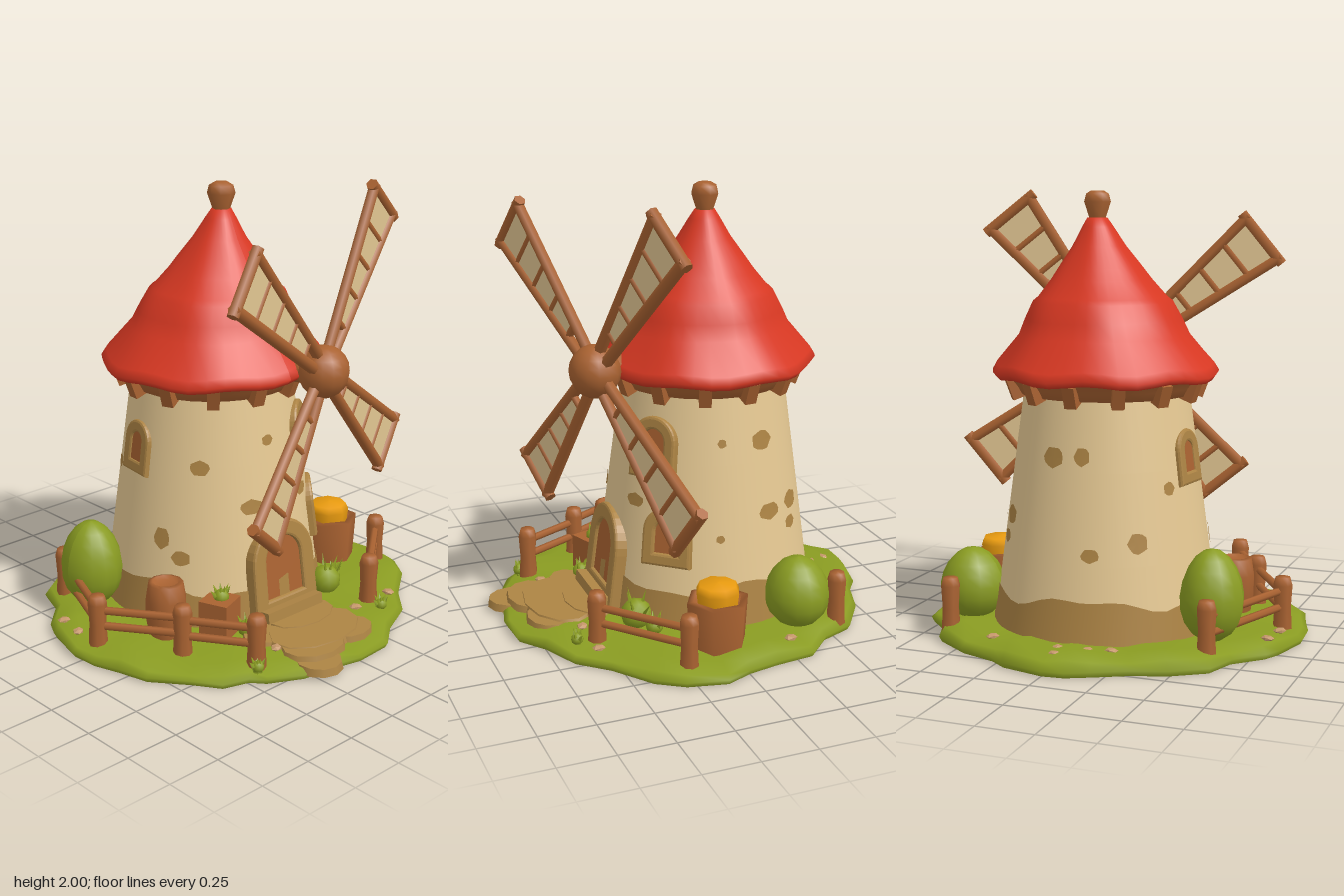
import * as THREE from 'three';

const mat = (name, color, side = THREE.FrontSide) => {
  const m = new THREE.MeshStandardMaterial({ color, side });
  m.name = name;
  return m;
};
const M = {
  wall: mat('cream plaster', 0xe6c993), tan: mat('tan stone', 0xad8444), wood: mat('brown wood', 0xa96231),
  roof: mat('red roof', 0xd83822, THREE.DoubleSide), grass: mat('grass green', 0x8a9c22),
  earth: mat('brown earth', 0x9c7342), yellow: mat('golden yellow', 0xf0a010),
  sail: mat('sail cloth', 0xe2c692), pebble: mat('pebble', 0xc4966a),
};
const V = (x, y, z) => new THREE.Vector3(x, y, z);
const rad = THREE.MathUtils.degToRad;

function add(parent, name, geo, material, x = 0, y = 0, z = 0) {
  const mesh = new THREE.Mesh(geo, material);
  mesh.name = name;
  mesh.position.set(x, y, z);
  parent.add(mesh);
  return mesh;
}
function group(parent, name, x = 0, y = 0, z = 0) {
  const g = new THREE.Group();
  g.name = name;
  g.position.set(x, y, z);
  parent.add(g);
  return g;
}
const lathe = (pts, n) => new THREE.LatheGeometry(pts.map(p => new THREE.Vector2(p[0], p[1])), n);
// move every vertex by a rule
function warp(geo, rule) {
  const p = geo.attributes.position, v = V(0, 0, 0);
  for (let i = 0; i < p.count; i++) {
    rule(v.fromBufferAttribute(p, i));
    p.setXYZ(i, v.x, v.y, v.z);
  }
  geo.computeVertexNormals();
  return geo;
}
// round bar between two points
function beam(parent, name, a, b, r, sides = 6) {
  const m = add(parent, name, new THREE.CylinderGeometry(r, r, a.distanceTo(b), sides), M.wood);
  m.position.copy(a).add(b).multiplyScalar(0.5);
  m.quaternion.setFromUnitVectors(V(0, 1, 0), b.clone().sub(a).normalize());
}
// tower radius at a height
const towerR = y => 0.515 - (y - 0.05) * 0.133;

// arched outline with its foot at y0
function arch(Path, half, y0, top) {
  const s = new Path();
  s.moveTo(-half, y0);
  s.lineTo(half, y0);
  s.lineTo(half * 0.97, top - half);
  s.absarc(0, top - half, half * 0.97, 0, Math.PI, false);
  s.lineTo(-half, y0);
  return s;
}
// framed arched opening on the tower wall
function opening(tower, name, deg, y, half, height, rim, depth) {
  const turn = group(tower, name);
  turn.rotation.y = rad(deg);
  const g = group(turn, name + 'Body', 0, y, towerR(y));
  g.rotation.x = -0.132;
  const frame = arch(THREE.Shape, half, 0, height);
  frame.holes.push(arch(THREE.Path, half - rim, rim, height - rim));
  const bevel = { bevelSize: 0.012, bevelThickness: 0.012, bevelSegments: 2, curveSegments: 8 };
  add(g, name + 'Frame', new THREE.ExtrudeGeometry(frame, { depth, ...bevel }), M.tan, 0, 0, -0.06);
  const panel = arch(THREE.Shape, half - rim + 0.01, rim - 0.01, height - rim + 0.01);
  add(g, name + 'Panel', new THREE.ExtrudeGeometry(panel, { depth: 0.05, bevelEnabled: false, curveSegments: 8 }), M.wood, 0, 0, -0.046);
  return g;
}

function buildGround(root) {
  const pts = [[0, -.89], [.2, -.84], [.28, -.78], [.45, -.72], [.62, -.6], [.68, -.45], [.8, -.33], [.82, -.15],
    [.85, 0], [.9, .12], [.86, .3], [.78, .42], [.6, .55], [.48, .68], [.3, .76], [.18, .85], [0, .86], [-.12, .83],
    [-.3, .8], [-.45, .72], [-.5, .66], [-.62, .62], [-.7, .5], [-.82, .35], [-.86, .2], [-.9, .08], [-.91, -.05],
    [-.86, -.25], [-.82, -.33], [-.7, -.45], [-.65, -.6], [-.5, -.7], [-.35, -.75], [-.2, -.83], [-.1, -.88]];
  const n = pts.length, pos = [], idx = [];
  const rings = [[0.985, 0], [1, 0.025], [0.97, 0.05], [0.86, 0.07], [0.6, 0.065], [0.01, 0.07]];
  rings.forEach(([s, y], i) => pts.forEach(([x, z], j) => {
    const bump = i > 1 && i < 4 ? 0.012 * Math.sin(j * 1.9) - z * 0.012 : 0;
    pos.push(x * s, y + bump, z * s);
    if (i === rings.length - 1) return;
    const a = i * n + j, b = i * n + (j + 1) % n;
    idx.push(a, a + n, b + n, a, b + n, b);
  }));
  const geo = new THREE.BufferGeometry();
  geo.setAttribute('position', new THREE.Float32BufferAttribute(pos, 3));
  geo.setIndex(idx);
  geo.computeVertexNormals();
  add(root, 'grassMound', geo, M.grass);
  const base = new THREE.Shape(pts.map(p => new THREE.Vector2(p[0] * 0.985, p[1] * 0.985)));
  add(root, 'underside', new THREE.ShapeGeometry(base).rotateX(Math.PI / 2), M.earth);
  // dirt path as overlapping flat slabs
  [[-.03, .05, .59, .26, .17], [-.19, .022, .77, .11, .115], [-.13, .045, .68, .17, .13], [-.2, .048, .48, .15, .1], [.02, .055, .46, .19, .12], [.1, .042, .68, .13, .1]]
    .forEach(([x, y, z, rx, rz]) => add(root, 'pathSlab', new THREE.CylinderGeometry(0.93, 1, 0.035, 11).scale(rx, 1, rz), M.tan, x, y + 0.014, z));
  [[-.02, -.78], [-.13, -.69], [0, -.7], [-.23, -.66], [.33, -.65], [.72, -.25], [-.8, -.25], [-.82, -.12], [.5, .57], [.27, .57], [-.28, .6]]
    .forEach(([x, z], i) => add(root, 'pebble', new THREE.IcosahedronGeometry(0.032, 0).scale(1, 0.4, 0.8).rotateY(i), M.pebble, x, 0.073, z));
}

function buildTower(root) {
  const t = group(root, 'tower', 0, 0, -0.12);
  add(t, 'wall', lathe([[towerR(.03), .03], [towerR(.4), .4], [towerR(.8), .8], [towerR(1.2), 1.2]], 48), M.wall);
  // stone footing with a wavy upper edge
  add(t, 'footing', warp(new THREE.CylinderGeometry(1, 1, 1, 48, 1, true), v => {
    const a = Math.atan2(v.x, v.z), y = v.y > 0 ? 0.235 + 0.025 * Math.sin(a * 4 + 1) + 0.012 * Math.sin(a * 9) : 0.04;
    const r = towerR(y) + 0.006;
    v.set(Math.sin(a) * r, y, Math.cos(a) * r);
  }), M.tan);
  // worn patches wrapped on the wall: angle, height, half width, half height
  [[-19, .61, .055, .035], [25, .61, .05, .03], [-72, .46, .04, .05], [108, .89, .055, .045], [80, .9, .02, .02], [110, .56, .06, .038],
    [131, .57, .055, .042], [128, .47, .04, .03], [78, .47, .02, .018], [167, .86, .05, .045], [186, .87, .035, .04], [218, .5, .045, .045],
    [192, .45, .04, .03], [240, .72, .03, .03], [-50, .8, .045, .035], [-5, .9, .03, .025], [300, .38, .045, .035]]
    .forEach(([deg, y0, w, h]) => add(t, 'stonePatch', warp(new THREE.CircleGeometry(1, 12), v => {
      const k = 1 + 0.08 * Math.sin(5 * Math.atan2(v.y, v.x) + deg);
      const y = y0 + v.y * h * k, r = towerR(y) + 0.005, a = rad(deg) + v.x * w * k / r;
      v.set(Math.sin(a) * r, y, Math.cos(a) * r);
    }), M.tan));
  const door = opening(t, 'door', -1, 0.1, 0.18, 0.42, 0.055, 0.07);
  add(door, 'doorStep', new THREE.BoxGeometry(0.34, 0.05, 0.11), M.tan, 0, 0.01, 0.015);
  opening(t, 'upperWindow', 36, 0.735, 0.105, 0.265, 0.035, 0.07);
  opening(t, 'lowerWindow', 48, 0.35, 0.105, 0.25, 0.035, 0.07);
  opening(t, 'sideWindow', 262, 0.73, 0.085, 0.225, 0.034, 0.06);

  // eaves ring and brackets
  add(t, 'eavesRing', lathe([[0.36, 1.1], [0.395, 1.105], [0.415, 1.14], [0.45, 1.185], [0.475, 1.21]], 32), M.wood);
  for (let i = 0; i < 13; i++) {
    const arm = group(t, 'eavesBracket');
    arm.rotation.y = (i + 0.5) * Math.PI * 2 / 13;
    add(arm, 'bracketBlock', new THREE.BoxGeometry(0.055, 0.1, 0.09), M.wood, 0, 1.14, 0.405).rotation.x = 0.35;
  }
  // layered roof leaning slightly toward its tip
  const roof = lathe([[.43, 1.19], [.49, 1.175], [.51, 1.2], [.49, 1.235], [.385, 1.36], [.355, 1.43], [.315, 1.51], [.29, 1.53],
    [.225, 1.61], [.19, 1.66], [.12, 1.755], [.07, 1.84], [.045, 1.88], [0, 1.885]], 40);
  add(t, 'roof', warp(roof, v => {
    const a = Math.atan2(v.x, v.z), r = Math.hypot(v.x, v.z);
    const k = 1 + 0.012 * Math.sin(a * 7 + v.y * 6);
    v.set(v.x * k + (v.y - 1.2) * 0.075, v.y + (r > 0.4 ? 0.008 * Math.sin(a * 8) : 0), v.z * k + (v.y - 1.2) * 0.02);
  }), M.roof);
  add(t, 'finial', lathe([[.035, 1.84], [.04, 1.88], [.064, 1.95], [.055, 1.985], [.03, 2], [0, 2]], 8), M.wood, 0.05, 0, 0.013);
}

function buildRotor(root) {
  const rotor = group(root, 'rotor', 0.15, 1.22, 0.45);
  rotor.rotation.y = 0.27;
  add(rotor, 'hub', new THREE.SphereGeometry(0.12, 14, 10).scale(1, 1, 0.95), M.wood);
  beam(rotor, 'axle', V(0, 0, 0), V(-0.04, 0, -0.38), 0.065, 10);
  const half = r => 0.038 + (r - 0.2) * 0.13;
  // four blades, each a little different in reach
  [0.86, 0.875, 0.8, 0.86].forEach((tip, i) => {
    const blade = group(rotor, 'blade');
    blade.rotation.z = rad(51 - 90 + i * 90);
    const s = new THREE.Shape();
    s.moveTo(-half(.22), .22); s.lineTo(half(.22), .22); s.lineTo(half(tip), tip); s.lineTo(-half(tip), tip);
    add(blade, 'sail', new THREE.ExtrudeGeometry(s, { depth: 0.02, bevelEnabled: false }), M.sail, 0, 0, -0.01);
    for (const k of [-1, 1]) beam(blade, 'bladeRail', V(k * 0.03, 0.08, 0), V(k * half(tip), tip + 0.015, 0), 0.027);
    for (let j = 0; j < 5; j++) {
      const r = 0.23 + (tip - 0.23) * j / 4, w = half(r) + (j === 4 ? 0.028 : 0);
      beam(blade, 'bladeRung', V(-w, r, 0), V(w, r, 0), j === 4 ? 0.028 : 0.018);
    }
  });
}

function buildYard(root) {
  // fences: runs of posts joined by two rails
  const runs = [[[-.6, -.5], [-.8, 0], [-.59, .33], [-.42, .62]], [[.39, .54], [.76, .25]], [[.59, -.54]]];
  const fence = group(root, 'fence');
  for (const run of runs) run.forEach(([x, z], i) => {
    add(fence, 'fencePost', lathe([[.045, .03], [.038, .15], [.044, .25], [.034, .285], [0, .287]], 8), M.wood, x, 0, z);
    if (i) for (const y of [.14, .215]) beam(fence, 'fenceRail', V(run[i - 1][0], y, run[i - 1][1]), V(x, y + 0.01, z), 0.018);
  });
  // bushes
  for (const [x, y, z, rx, ry, rz] of [[.57, .22, -.35, .15, .165, .145], [-.57, .265, -.33, .14, .205, .15]])
    add(root, 'bush', warp(new THREE.SphereGeometry(1, 14, 10), v => {
      const k = 1 - 0.1 * v.y;
      v.set(v.x * rx * k, v.y * ry, v.z * rz * k);
    }), M.grass, x, y, z);
  // barrel
  add(root, 'barrel', lathe([[.075, .05], [.092, .15], [.092, .24], [.08, .315], [.06, .32], [.055, .3], [0, .3]], 12), M.wood, -.53, 0, .15);
  // hexagonal tub with golden heap
  add(root, 'tub', lathe([[.13, .04], [.145, .27], [.115, .275], [.11, .24], [0, .24]], 6), M.wood, .62, 0, .06);
  add(root, 'goldenHeap', lathe([[.09, .23], [.1, .31], [.085, .342], [0, .35]], 8), M.yellow, .62, 0, .06);
  // planter crate
  add(root, 'crate', new THREE.BoxGeometry(.14, .17, .14), M.wood, -.35, .145, .31).rotation.y = 0.35;
  // leafy tufts
  const tufts = [[-.34, .21, .31, .09], [.32, .06, .33, .18], [-.27, .06, .4, .1], [.38, .05, .63, .07], [-.45, .045, .66, .07], [.42, .06, .28, .1]];
  for (const [x, y, z, h] of tufts) {
    const tuft = group(root, 'leafTuft', x, y, z);
    add(tuft, 'leafClump', new THREE.IcosahedronGeometry(h * 0.4, 1), M.grass, 0, h * 0.3, 0);
    for (let i = 0; i < 7; i++) {
      const leaf = new THREE.ConeGeometry(0.022, h, 4).translate(0, h / 2, 0).rotateX(0.25 + (i % 3) * 0.22).rotateY(i * 0.9);
      add(tuft, 'leaf', leaf, M.grass);
    }
  }
}

export function createModel() {
  const root = new THREE.Group();
  root.name = 'windmill';
  buildGround(root);
  buildTower(root);
  buildRotor(root);
  buildYard(root);
  return root;
}
